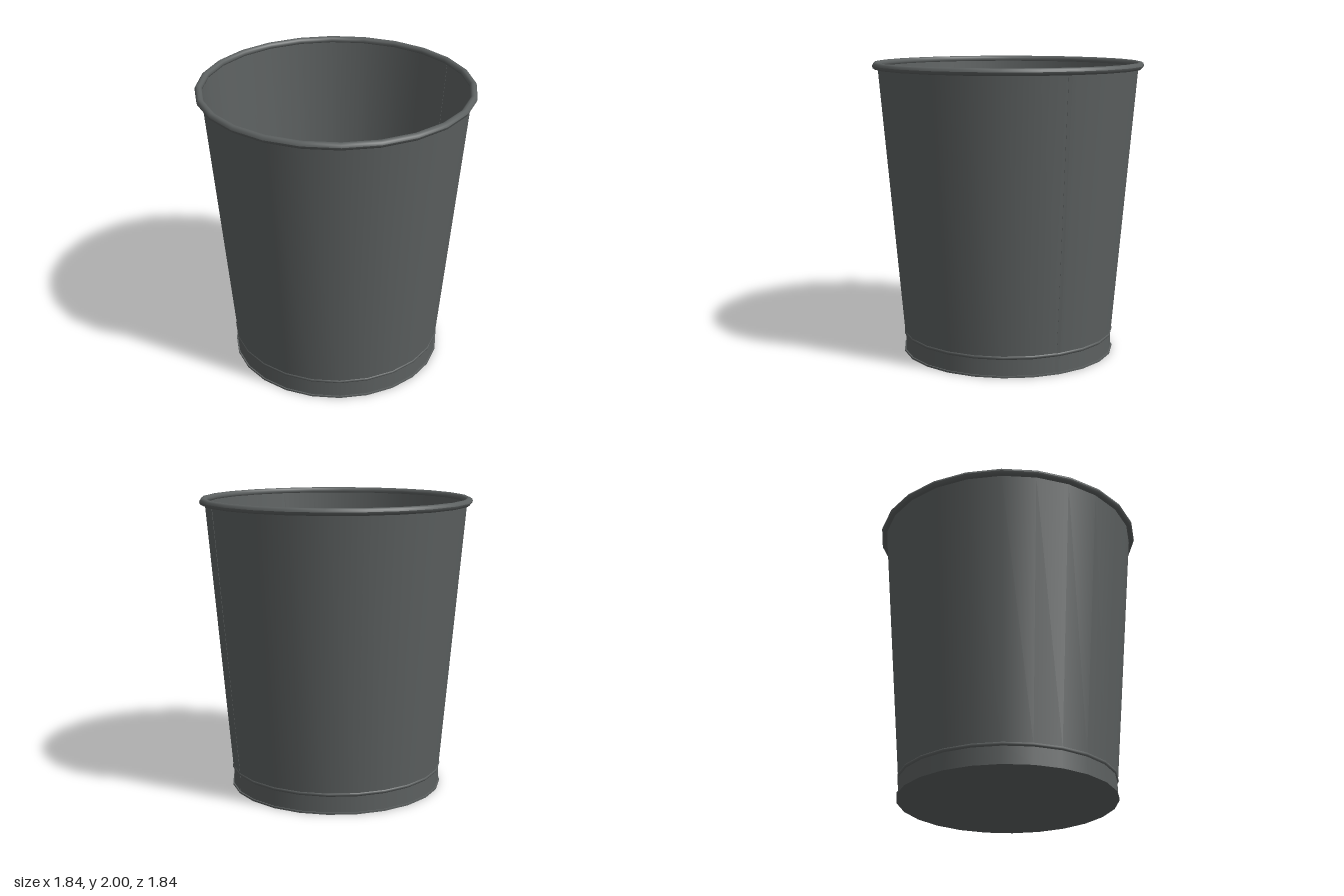
import * as THREE from 'three';

const SEGMENTS = 24;

export function createModel() {
  const group = new THREE.Group();
  group.name = 'wasteBin';
  const steel = new THREE.MeshStandardMaterial({ color: 0x5c6060 });
  steel.name = 'dark grey metal';

  const add = (name, geometry) => {
    const mesh = new THREE.Mesh(geometry, steel);
    mesh.name = name;
    group.add(mesh);
    return mesh;
  };

  // Each profile runs so that its faces point away from the sheet metal
  const turn = (name, points) =>
    add(name, new THREE.LatheGeometry(points.map(([r, y]) => new THREE.Vector2(r, y)), SEGMENTS));

  // Tapered wall, outside and inside
  turn('outerWall', [[0.729, 0.135], [0.885, 1.965]]);
  turn('innerWall', [[0.879, 1.965], [0.716, 0.02]]);

  // Base band with a rounded bead above and a thin foot flange below
  turn('baseBand', [[0.725, 0.012], [0.725, 0.122]]);
  turn('bandBead', [[0.725, 0.12], [0.732, 0.126], [0.734, 0.134], [0.732, 0.142], [0.726, 0.146]]);
  turn('footFlange', [[0.734, 0], [0.734, 0.012]]);
  turn('footFlangeTop', [[0.734, 0.012], [0.72, 0.012]]);

  // Floor and underside
  turn('floor', [[0.717, 0.02], [0, 0.02]]);
  turn('underside', [[0, 0], [0.734, 0]]);

  // Rolled rim
  const rim = [];
  for (let i = 0; i <= 10; i++) {
    const t = (i / 10) * Math.PI * 2;
    rim.push([0.898 + 0.024 * Math.cos(t), 1.976 + 0.024 * Math.sin(t)]);
  }
  turn('rolledRim', rim);

  // Narrow lap seam following the slope of the wall on the +x side
  const addSeam = (name, r0, y0, r1, y1) => {
    const z = 0.018;
    const seam = add(name, new THREE.BoxGeometry(0.004, Math.hypot(r1 - r0, y1 - y0), 0.024));
    seam.rotation.set(0, -Math.PI / SEGMENTS, -Math.atan2(r1 - r0, y1 - y0), 'YZX');
    seam.position.set((r0 + r1) / 2 - 0.13 * z, (y0 + y1) / 2, z);
  };
  addSeam('outerSeam', 0.729, 0.14, 0.884, 1.955);
  addSeam('innerSeam', 0.717, 0.025, 0.878, 1.955);
  addSeam('bandSeam', 0.725, 0.012, 0.725, 0.122);

  return group;
}
